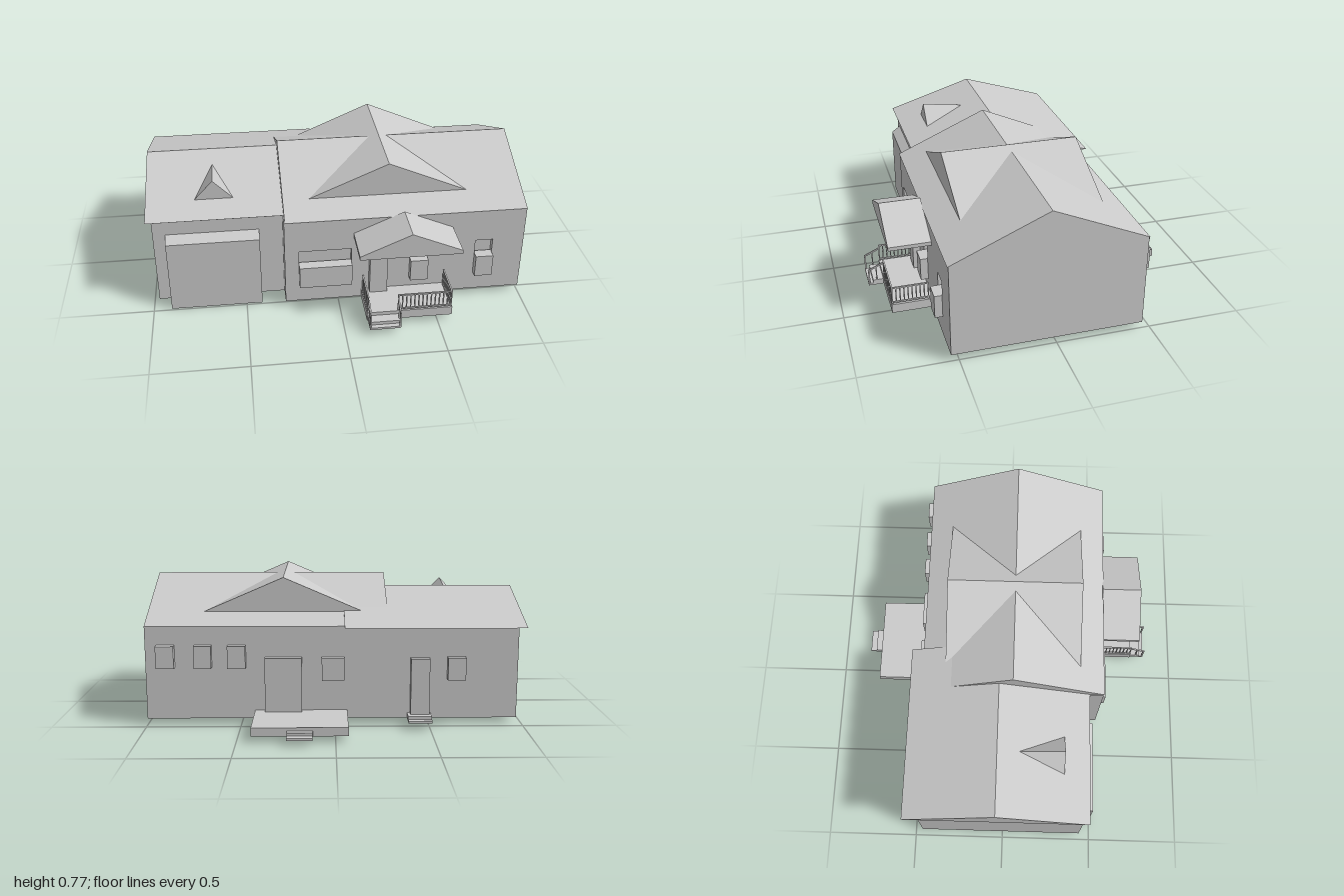
import * as THREE from 'three';

const material = new THREE.MeshStandardMaterial({ color: 0xcccccc, flatShading: true, side: THREE.DoubleSide });

export function createModel() {
  const house = new THREE.Group();
  house.name = 'house';

  const add = (name, geometry, parent = house) => {
    const mesh = new THREE.Mesh(geometry, material);
    mesh.name = name;
    parent.add(mesh);
    return mesh;
  };
  // box given by its limits on each axis
  const box = (name, x0, x1, y0, y1, z0, z1, parent) =>
    add(name, new THREE.BoxGeometry(x1 - x0, y1 - y0, z1 - z0)
      .translate((x0 + x1) / 2, (y0 + y1) / 2, (z0 + z1) / 2), parent);
  const polygon = (points) => new THREE.Shape(points.map(([a, b]) => new THREE.Vector2(a, b)));
  // (x, y) outline running along z
  const prismZ = (name, shape, z0, z1) =>
    add(name, new THREE.ExtrudeGeometry(shape, { depth: z1 - z0, bevelEnabled: false }).translate(0, 0, z0));
  // (z, y) outline running along x
  const prismX = (name, shape, x0, x1) =>
    add(name, new THREE.ExtrudeGeometry(shape, { depth: x1 - x0, bevelEnabled: false })
      .rotateY(-Math.PI / 2).translate(x1, 0, 0));
  // thin square bar between two points
  const bar = (name, a, b, size, parent) => {
    const from = new THREE.Vector3(...a), to = new THREE.Vector3(...b);
    const mesh = add(name, new THREE.BoxGeometry(size, size, from.distanceTo(to)), parent);
    mesh.position.copy(from).add(to).multiplyScalar(0.5);
    mesh.lookAt(to);
  };

  // walls; the front wall has openings for the upper window panes
  const base = 0.035, eave = 0.535;
  box('mainWalls', -0.29, 1, base, eave, -0.46, 0.51);
  box('garageWalls', -0.97, -0.29, base, eave, -0.46, 0.44);
  const frontWindows = [[-0.215, 0.065, 0.145], [0.38, 0.475, 0.145], [0.735, 0.83, 0.145]];
  const wall = polygon([[-0.29, base], [1, base], [1, eave], [-0.29, eave]]);
  for (const [x0, x1] of frontWindows) {
    wall.holes.push(polygon([[x0, 0.26], [x0, 0.35], [x1, 0.35], [x1, 0.26]]));
  }
  prismZ('frontWall', wall, 0.51, 0.54);
  for (const [x0, x1, y0] of frontWindows) box('frontWindow', x0, x1, y0, 0.27, 0.52, 0.58);

  // roofs
  prismX('mainRoof', polygon([[0.545, eave], [0.04, 0.755], [-0.465, eave]]), -0.285, 1);
  prismX('garageRoof', polygon([[0.465, eave], [-0.035, 0.69], [-0.53, eave]]), -1, -0.05);
  prismZ('crossGable', polygon([[-0.28, 0.536], [0.83, 0.536], [0.275, 0.775]]), -0.335, 0.41);
  prismZ('porchRoof', polygon([[0.075, 0.425], [0.605, 0.425], [0.605, 0.445], [0.34, 0.56], [0.075, 0.445]]), 0.54, 0.76);

  // small dormer: left, right, peak, back point
  const dormer = new THREE.BufferGeometry();
  dormer.setAttribute('position', new THREE.Float32BufferAttribute([
    -0.745, 0.578, 0.325, -0.54, 0.578, 0.325, -0.645, 0.685, 0.325, -0.645, 0.653, 0.08], 3));
  dormer.setIndex([0, 1, 2, 1, 3, 2, 0, 2, 3, 0, 3, 1]);
  const dormerGeometry = dormer.toNonIndexed();
  dormerGeometry.computeVertexNormals();
  add('dormer', dormerGeometry);

  // doors
  prismX('garageDoor', polygon([[0.4, 0], [0.49, 0], [0.49, 0.41], [0.44, 0.445], [0.4, 0.445]]), -0.905, -0.415);
  box('frontDoor', 0.16, 0.255, 0.085, 0.365, 0.53, 0.58);
  box('patioDoor', 0.175, 0.37, 0.08, 0.37, -0.5, -0.45);
  box('sideDoor', -0.5, -0.4, 0.06, 0.365, -0.5, -0.45);

  // back windows
  for (const [x0, x1, y0, y1] of [
    [0.845, 0.94, 0.315, 0.435], [0.65, 0.74, 0.315, 0.435], [0.47, 0.565, 0.315, 0.435],
    [-0.05, 0.07, 0.25, 0.37], [-0.69, -0.595, 0.25, 0.37],
  ]) box('backWindow', x0, x1, y0, y1, -0.5, -0.45);

  // back patio and steps
  box('patio', -0.065, 0.425, base, 0.08, -0.775, -0.45);
  box('patioStepUpper', 0.115, 0.245, base, 0.063, -0.81, -0.77);
  box('patioStepLower', 0.115, 0.245, base, 0.048, -0.845, -0.8);
  box('sideStepUpper', -0.51, -0.385, base, 0.063, -0.535, -0.45);
  box('sideStepLower', -0.51, -0.385, base, 0.048, -0.57, -0.53);

  // front porch
  box('porchFloor', 0.12, 0.575, base, 0.085, 0.53, 0.755);
  box('porchStepUpper', 0.125, 0.285, base, 0.065, 0.75, 0.81);
  box('porchStepLower', 0.125, 0.285, base, 0.047, 0.8, 0.835);

  // railings around the porch
  const railing = new THREE.Group();
  railing.name = 'porchRailing';
  house.add(railing);
  const railRun = (x0, z0, x1, z1, count) => {
    for (const y of [0.096, 0.182]) bar('rail', [x0, y, z0], [x1, y, z1], 0.008, railing);
    for (let i = 0; i <= count; i++) {
      const x = x0 + (x1 - x0) * i / count, z = z0 + (z1 - z0) * i / count;
      const end = i === 0 || i === count;
      box('baluster', x - 0.003, x + 0.003, end ? 0.08 : 0.096, 0.185, z - 0.003, z + 0.003, railing);
    }
  };
  railRun(0.285, 0.75, 0.568, 0.75, 13);
  railRun(0.568, 0.75, 0.568, 0.56, 9);
  railRun(0.126, 0.75, 0.126, 0.56, 9);

  // sloping handrails on the steps
  for (const x of [0.128, 0.284]) {
    bar('handrail', [x, 0.165, 0.752], [x, 0.128, 0.834], 0.008, railing);
    bar('handrailPost', [x, 0.04, 0.83], [x, 0.13, 0.83], 0.008, railing);
    bar('handrailBaluster', [x, 0.06, 0.79], [x, 0.147, 0.79], 0.006, railing);
  }
  return house;
}
